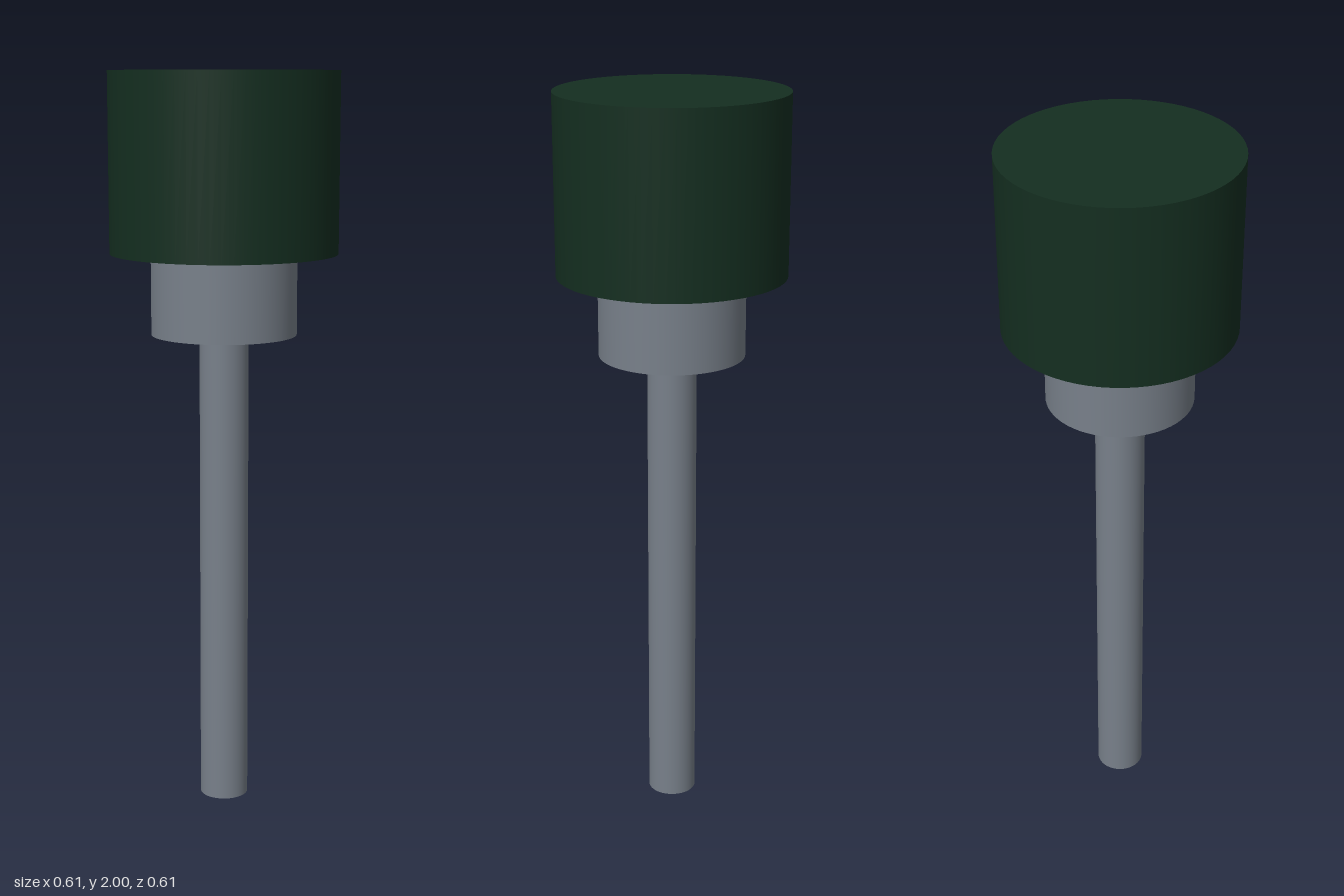
import * as THREE from 'three';

export function createModel() {
  const group = new THREE.Group();
  const steel = new THREE.MeshStandardMaterial({ color: 0x78808a });
  const green = new THREE.MeshStandardMaterial({ color: 0x142e20 });

  // Upright round part between two heights
  function addCylinder(name, radius, bottom, top, material) {
    const geometry = new THREE.CylinderGeometry(radius, radius, top - bottom, 64);
    const mesh = new THREE.Mesh(geometry, material);
    mesh.name = name;
    mesh.position.y = (bottom + top) / 2;
    group.add(mesh);
  }

  addCylinder('shaft', 0.066, 0, 1.309, steel);
  addCylinder('collar', 0.195, 1.309, 1.526, steel);
  addCylinder('head', 0.304, 1.526, 2, green);

  return group;
}
